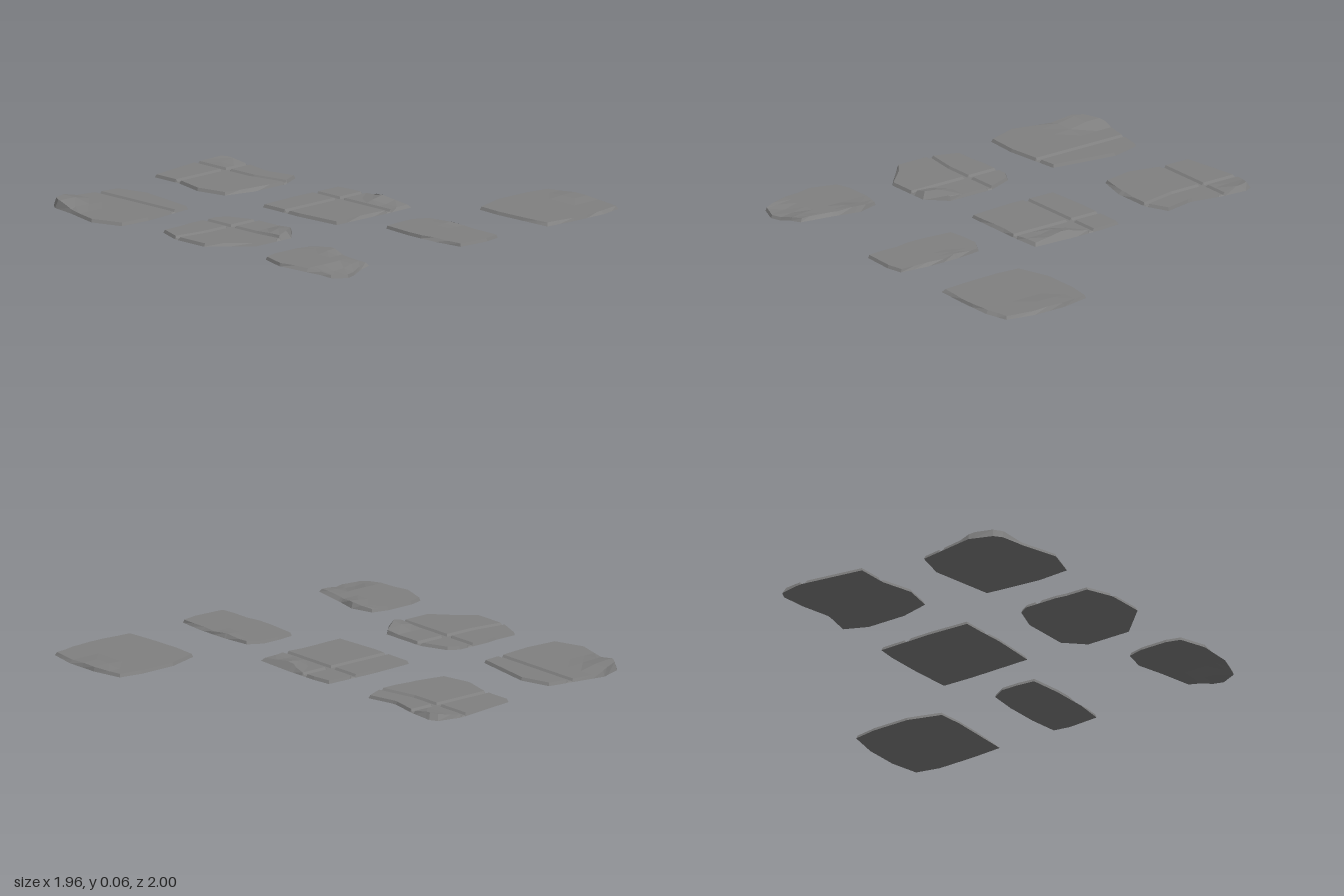
import * as THREE from 'three';

const BOTTOM = 0.021, TOP = 0.036, DEPTH = 0.011;
const FLOOR = 0.01, LIP = 0.018; // half widths of a groove at its floor and at its top

// Keep the part of a polygon where sign * (p[axis] - v) >= 0
function clip(poly, axis, v, sign) {
  const out = [];
  poly.forEach((a, i) => {
    const b = poly[(i + 1) % poly.length];
    const da = sign * (a[axis] - v), db = sign * (b[axis] - v);
    if (da >= 0) out.push(a);
    if (da * db < 0) {
      const t = da / (da - db);
      const p = [a[0] + (b[0] - a[0]) * t, a[1] + (b[1] - a[1]) * t];
      p[axis] = v;
      out.push(p);
    }
  });
  return out;
}

// Cutting lines across one axis: an even grid plus the walls and floor of a groove
function cutLines(min, max, groove) {
  const lines = [];
  for (let i = 0; i <= 6; i++) {
    const v = min + (max - min) * i / 6;
    if (groove === undefined || i % 6 === 0 || Math.abs(v - groove) > 0.03) lines.push(v);
  }
  if (groove !== undefined) lines.push(groove - LIP, groove - FLOOR, groove + FLOOR, groove + LIP);
  return lines.sort((a, b) => a - b);
}

// Depth of a groove at a position across it
function grooveDepth(v, groove) {
  if (groove === undefined) return 0;
  return DEPTH * THREE.MathUtils.clamp((LIP - Math.abs(v - groove)) / (LIP - FLOOR), 0, 1);
}

// outline: x, z pairs. bumps, dips, chips: [x, z, radius, amount].
// Bumps raise the top, dips move top and underside, chips bevel the rim inwards.
function slab(name, outline, { grooveX, grooveZ, bendX = () => 0, bendZ = () => 0, bumps = [], dips = [], chips = [] }) {
  const pts = [];
  for (let i = 0; i < outline.length; i += 2) {
    const x = outline[i], z = outline[i + 1];
    pts.push([x - bendX(z), z - bendZ(x)]);
  }
  const range = k => [Math.min(...pts.map(p => p[k])), Math.max(...pts.map(p => p[k]))];
  const [x0, x1] = range(0), [z0, z1] = range(1);
  const cx = (x0 + x1) / 2, cz = (z0 + z1) / 2;

  const sum = (list, x, z) => list.reduce((s, [bx, bz, r, h]) =>
    s + h * Math.min(1, 1.6 * Math.max(0, 1 - Math.hypot(x - bx, z - bz) / r)), 0);
  const point = (p, top) => {
    const x = p[0] + bendX(p[1]), z = p[1] + bendZ(p[0]);
    const s = top ? 0.988 - sum(chips, x, z) : 1.012;
    const cut = Math.max(grooveDepth(p[0], grooveX), grooveDepth(p[1], grooveZ));
    const y = (top ? TOP - cut + sum(bumps, x, z) : BOTTOM) + sum(dips, x, z);
    return [cx + (x - cx) * s, y, cz + (z - cz) * s];
  };

  const pos = [], edges = new Map();
  const tri = (a, b, c) => pos.push(...a, ...b, ...c);
  const key = p => p[0].toFixed(4) + ',' + p[1].toFixed(4);
  const xs = cutLines(x0, x1, grooveX), zs = cutLines(z0, z1, grooveZ);
  for (let i = 0; i + 1 < xs.length; i++) {
    const strip = clip(clip(pts, 0, xs[i], 1), 0, xs[i + 1], -1);
    for (let j = 0; j + 1 < zs.length; j++) {
      let cell = clip(clip(strip, 1, zs[j], 1), 1, zs[j + 1], -1);
      cell = cell.filter((p, k) => key(p) !== key(cell[(k + 1) % cell.length]));
      if (cell.length < 3) continue;
      // Top and underside of the cell
      const flat = cell.map(p => new THREE.Vector2(p[0], p[1]));
      for (const f of THREE.ShapeUtils.triangulateShape(flat, [])) {
        let [a, b, c] = f.map(k => cell[k]);
        if ((b[0] - a[0]) * (c[1] - a[1]) - (b[1] - a[1]) * (c[0] - a[0]) < 0) [b, c] = [c, b];
        tri(point(a, true), point(c, true), point(b, true));
        tri(point(a, false), point(b, false), point(c, false));
      }
      // Shared edges cancel out, leaving only the rim
      cell.forEach((a, k) => {
        const b = cell[(k + 1) % cell.length];
        const back = key(b) + '|' + key(a);
        if (edges.has(back)) edges.delete(back);
        else edges.set(key(a) + '|' + key(b), [a, b]);
      });
    }
  }
  // Rim walls
  for (const [a, b] of edges.values()) {
    const ta = point(a, true), tb = point(b, true), ba = point(a, false), bb = point(b, false);
    tri(ta, tb, bb);
    tri(ta, bb, ba);
  }

  const geo = new THREE.BufferGeometry();
  geo.setAttribute('position', new THREE.Float32BufferAttribute(pos, 3));
  geo.computeVertexNormals();
  const mesh = new THREE.Mesh(geo, new THREE.MeshStandardMaterial({ color: 0x808080, flatShading: true }));
  mesh.name = name;
  return mesh;
}

export function createModel() {
  const group = new THREE.Group();
  group.name = 'stoneSlabs';
  group.add(
    // Back row
    slab('backRightSlab', [-0.77, -0.93, -0.48, -0.88, -0.44, -0.73, -0.49, -0.41, -0.77, -0.38,
      -0.93, -0.39, -0.98, -0.54, -0.93, -0.73, -0.91, -0.85, -0.88, -0.89],
    { grooveX: -0.59, bumps: [[-0.87, -0.88, 0.17, 0.024]], chips: [[-0.93, -0.83, 0.12, 0.03]] }),
    slab('backMiddleSlab', [-0.17, -0.95, 0.15, -0.997, 0.27, -0.97, 0.29, -0.93, 0.28, -0.8, 0.25, -0.65,
      0.28, -0.49, 0.17, -0.44, -0.03, -0.44, -0.18, -0.48, -0.21, -0.63, -0.17, -0.79],
    { grooveX: 0.137, grooveZ: -0.8, bendX: z => Math.max(0, z + 0.63) * 0.2,
      bumps: [[0.28, -0.95, 0.1, 0.014]], chips: [[0.29, -0.92, 0.09, 0.05], [-0.03, -0.44, 0.1, 0.04]] }),
    // Middle row
    slab('middleRightSlab', [-0.88, -0.16, -0.71, -0.17, -0.54, -0.17, -0.49, -0.14, -0.44, -0.01,
      -0.44, 0.23, -0.53, 0.32, -0.76, 0.32, -0.93, 0.16, -0.93, -0.03],
    { grooveX: -0.605, grooveZ: 0, bendZ: x => Math.min(0, x + 0.77) * 0.15,
      bumps: [[-0.51, 0.29, 0.11, 0.019]], chips: [[-0.53, 0.31, 0.09, 0.06], [-0.85, 0.24, 0.12, 0.04]] }),
    slab('centreSlab', [-0.21, -0.19, 0, -0.2, 0.275, -0.195, 0.285, -0.1, 0.285, 0.08, 0.275, 0.285,
      0.12, 0.29, -0.2, 0.285, -0.215, 0.05, -0.21, -0.1],
    { grooveX: 0.13, grooveZ: -0.035, bumps: [[0.28, 0.13, 0.11, 0.019]],
      chips: [[0.28, 0.13, 0.13, 0.09], [0, 0.29, 0.1, 0.03], [0.24, 0.28, 0.07, 0.04]] }),
    // Front row
    slab('frontRightSlab', [-0.9, 0.54, -0.83, 0.52, -0.69, 0.52, -0.61, 0.54, -0.58, 0.65, -0.61, 0.78,
      -0.64, 0.95, -0.71, 0.96, -0.81, 0.99, -0.89, 0.96, -0.93, 0.84, -0.94, 0.67],
    { bumps: [[-0.59, 0.66, 0.09, 0.012]], dips: [[-0.81, 0.99, 0.15, -0.021]],
      chips: [[-0.61, 0.84, 0.16, 0.1], [-0.93, 0.8, 0.13, 0.07], [-0.58, 0.65, 0.06, 0.05]] }),
    slab('frontMiddleSlab', [-0.085, 0.5, 0, 0.49, 0.09, 0.49, 0.16, 0.53, 0.175, 0.67, 0.175, 0.84,
      0.16, 0.98, 0.08, 0.995, -0.08, 0.985, -0.1, 0.84, -0.1, 0.66],
    { bumps: [[0.175, 0.67, 0.07, 0.006]],
      chips: [[-0.1, 0.84, 0.08, 0.1], [0.175, 0.84, 0.1, 0.08], [0.175, 0.67, 0.06, 0.07]] }),
    slab('frontLeftSlab', [0.48, 0.54, 0.64, 0.49, 0.83, 0.49, 0.945, 0.51, 0.975, 0.66, 0.975, 0.83,
      0.945, 0.97, 0.83, 0.997, 0.64, 0.995, 0.48, 0.985, 0.47, 0.66],
    { bumps: [[0.93, 0.7, 0.14, 0.006]],
      chips: [[0.5, 0.98, 0.1, 0.03], [0.85, 0.99, 0.12, 0.03], [0.97, 0.83, 0.13, 0.03]] }),
  );
  return group;
}
